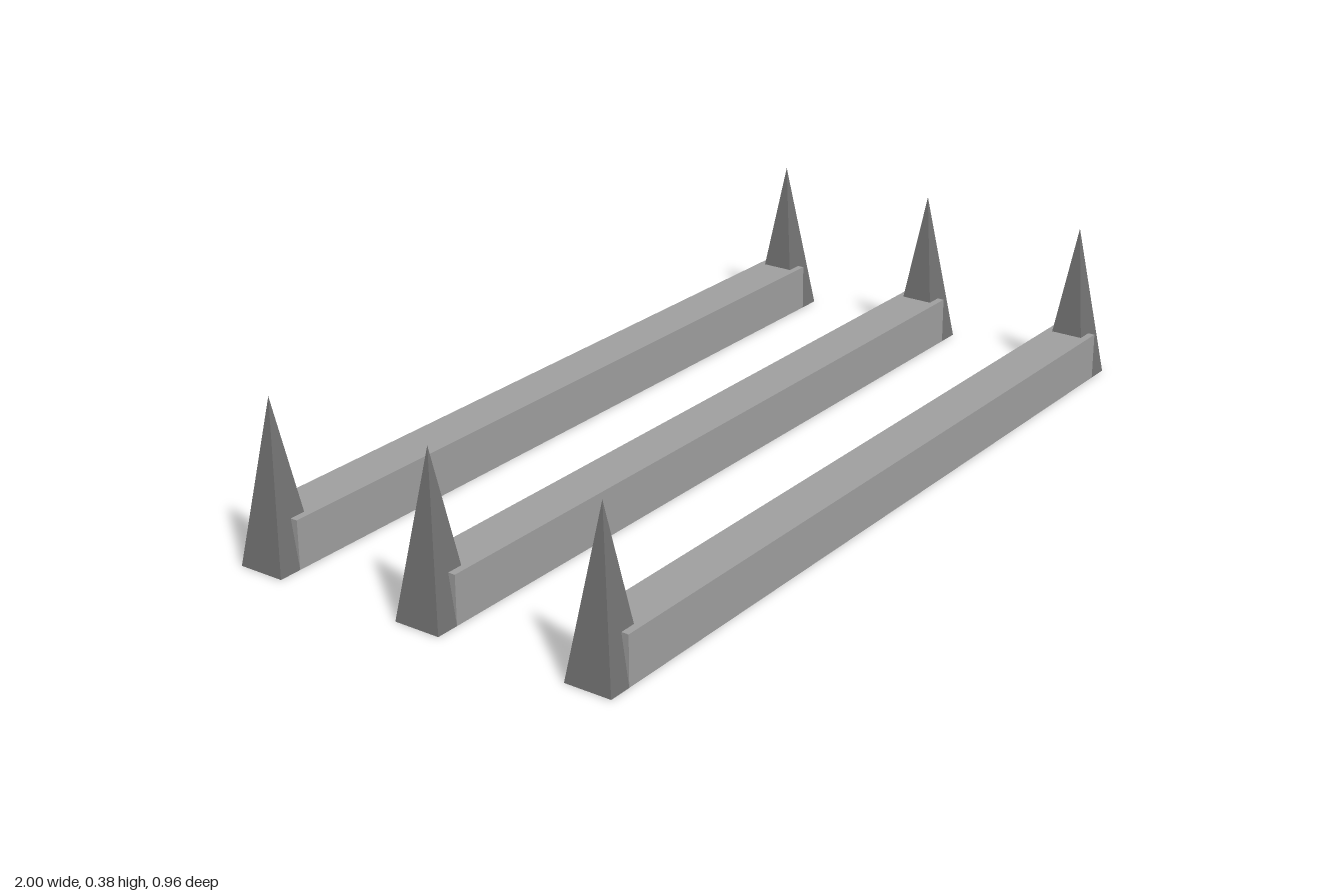
import * as THREE from 'three';

const WIDTH = 0.112; // bar depth and spike base
const BAR_HEIGHT = 0.113;
const SPIKE_HEIGHT = 0.375;
const SPIKE_X = 1 - WIDTH / 2;
const ROW_SPACING = 0.425;

export function createModel() {
  const model = new THREE.Group();
  model.name = 'spikedBars';
  const barMaterial = new THREE.MeshStandardMaterial({ color: 0x9e9e9e, flatShading: true });
  const spikeMaterial = new THREE.MeshStandardMaterial({ color: 0x727272, flatShading: true });

  // Bar ends at the spike centres
  const barGeometry = new THREE.BoxGeometry(SPIKE_X * 2, BAR_HEIGHT, WIDTH);
  barGeometry.translate(0, BAR_HEIGHT / 2, 0);

  // Square pyramid with sides parallel to the axes
  const spikeGeometry = new THREE.ConeGeometry(WIDTH / Math.SQRT2, SPIKE_HEIGHT, 4);
  spikeGeometry.rotateY(Math.PI / 4);
  spikeGeometry.translate(0, SPIKE_HEIGHT / 2, 0);

  // Three parallel rows, each a bar with a spike at both ends
  for (const [name, row] of [['backRow', -1], ['middleRow', 0], ['frontRow', 1]]) {
    const group = new THREE.Group();
    group.name = name;
    group.position.z = row * ROW_SPACING;

    const bar = new THREE.Mesh(barGeometry, barMaterial);
    bar.name = 'bar';
    group.add(bar);

    for (const side of [-1, 1]) {
      const spike = new THREE.Mesh(spikeGeometry, spikeMaterial);
      spike.name = side > 0 ? 'leftSpike' : 'rightSpike';
      spike.position.x = side * SPIKE_X;
      group.add(spike);
    }
    model.add(group);
  }
  return model;
}
